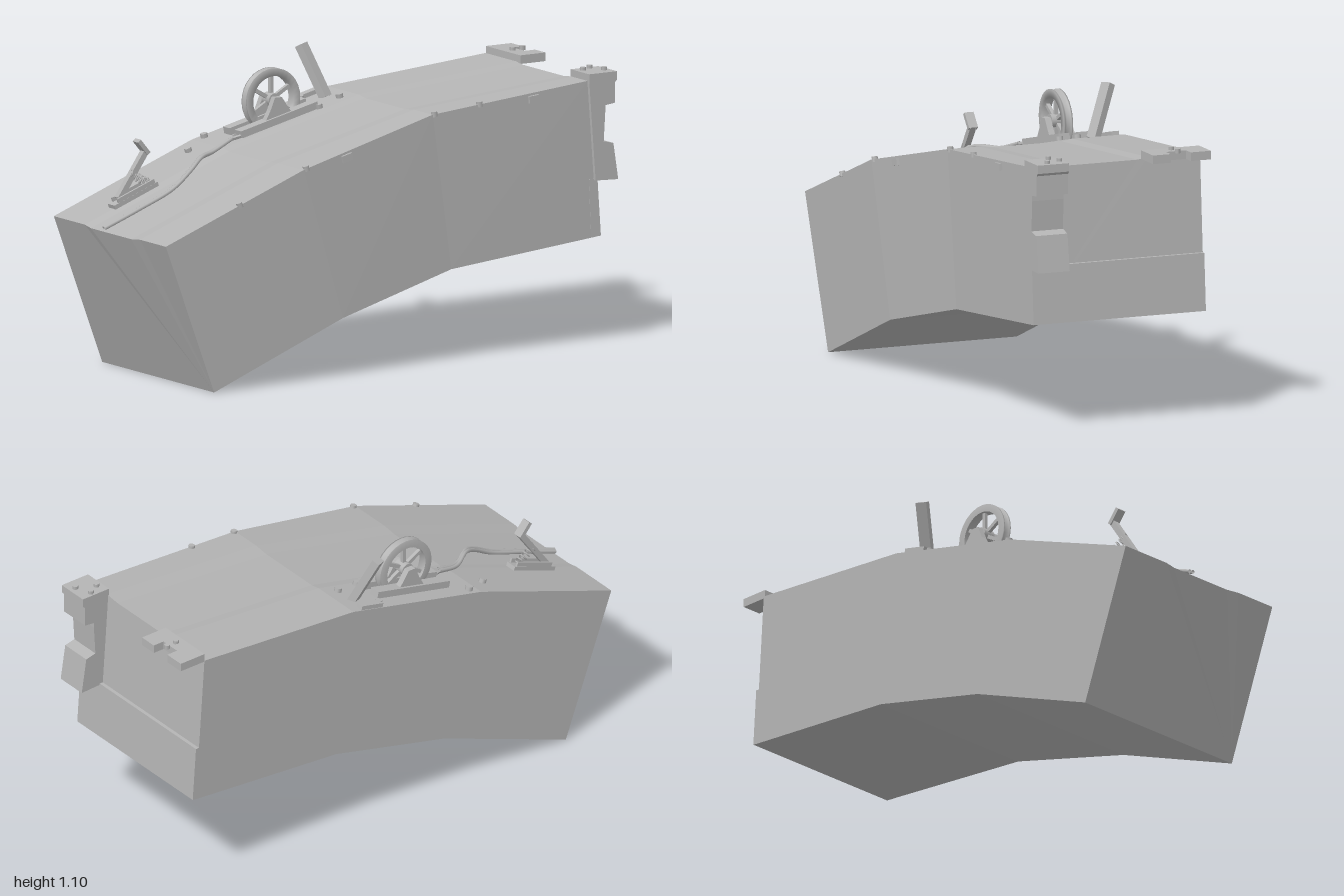
import * as THREE from 'three';

const steel = new THREE.MeshStandardMaterial({ color: 0xb4b4b4, side: THREE.DoubleSide });
steel.name = 'plain grey';

// Sections of the curved block: top x, y, bottom x, y, front z
const SECTIONS = [
  [-1, 0.56, -0.79, 0, 0.372],
  [-0.4, 0.785, -0.23, 0.22, 0.37],
  [0.19, 0.925, 0.27, 0.345, 0.325],
  [0.878, 0.98, 0.918, 0.4, 0.305],
];
const BACK = -0.378;

function segment(x) {
  let i = 0;
  while (i < 2 && x > SECTIONS[i + 1][0]) i++;
  return [SECTIONS[i], SECTIONS[i + 1]];
}
const mix = (x, k) => {
  const [a, b] = segment(x);
  return a[k] + (b[k] - a[k]) * (x - a[0]) / (b[0] - a[0]);
};
const topY = (x) => mix(x, 1);
const slope = (x) => {
  const [a, b] = segment(x);
  return Math.atan2(b[1] - a[1], b[0] - a[0]);
};

function add(parent, name, geometry, x = 0, y = 0, z = 0) {
  const m = new THREE.Mesh(geometry, steel);
  m.name = name;
  m.position.set(x, y, z);
  parent.add(m);
  return m;
}
const box = (w, h, d) => new THREE.BoxGeometry(w, h, d);

// Extrude a front-view outline between two depths
function slab(points, z0, z1, holes = []) {
  const s = new THREE.Shape(points.map((p) => new THREE.Vector2(...p)));
  holes.forEach((h) => s.holes.push(h));
  const g = new THREE.ExtrudeGeometry(s, { depth: z1 - z0, bevelEnabled: false });
  return g.translate(0, 0, z0);
}

// Straight bar between two points
function bar(parent, name, a, b, w, d) {
  const va = new THREE.Vector3(...a), vb = new THREE.Vector3(...b);
  const m = add(parent, name, box(w, va.distanceTo(vb), d));
  m.position.copy(va).lerp(vb, 0.5);
  m.quaternion.setFromUnitVectors(new THREE.Vector3(0, 1, 0), vb.sub(va).normalize());
  return m;
}

function blockGeometry() {
  const rings = SECTIONS.map(([tx, ty, bx, by, f]) => [
    [bx, by, f], [tx, ty, f], [tx, ty, 0.2], [tx, ty - 0.007, 0.14],
    [tx, ty - 0.007, -0.13], [tx, ty, -0.17], [tx, ty, BACK], [bx, by, BACK],
  ]);
  const pos = [];
  const tri = (a, b, c) => pos.push(...a, ...b, ...c);
  for (let i = 0; i < 3; i++) {
    for (let k = 0; k < 8; k++) {
      const a = rings[i][k], b = rings[i + 1][k];
      const c = rings[i + 1][(k + 1) % 8], d = rings[i][(k + 1) % 8];
      tri(a, b, c);
      tri(a, c, d);
    }
  }
  for (let k = 1; k < 7; k++) {
    tri(rings[0][0], rings[0][k], rings[0][k + 1]);
    tri(rings[3][0], rings[3][k + 1], rings[3][k]);
  }
  const g = new THREE.BufferGeometry();
  g.setAttribute('position', new THREE.Float32BufferAttribute(pos, 3));
  g.computeVertexNormals();
  return g;
}

// Spoked, grooved wheel on two rails
function wheelAssembly(root) {
  const g = new THREE.Group();
  g.name = 'wheelAssembly';
  root.add(g);
  const wheel = new THREE.Group();
  wheel.name = 'wheel';
  wheel.position.set(-0.14, 0.928, -0.25);
  g.add(wheel);
  const profile = [[0.088, -0.018], [0.116, -0.018], [0.116, -0.012], [0.1, 0],
    [0.116, 0.012], [0.116, 0.018], [0.088, 0.018], [0.088, -0.018]];
  const rim = new THREE.LatheGeometry(profile.map((p) => new THREE.Vector2(...p)), 32);
  add(wheel, 'rim', rim.rotateX(Math.PI / 2));
  add(wheel, 'hub', new THREE.CylinderGeometry(0.025, 0.025, 0.05, 16).rotateX(Math.PI / 2));
  add(wheel, 'axle', new THREE.CylinderGeometry(0.012, 0.012, 0.1, 12).rotateX(Math.PI / 2));
  for (let i = 0; i < 6; i++) {
    const a = i * Math.PI / 3 + Math.PI / 6;
    bar(wheel, 'spoke', [0, 0, 0], [0.092 * Math.cos(a), 0.092 * Math.sin(a), 0], 0.014, 0.014);
  }
  for (const z of [-0.289, -0.211]) {
    const rail = add(g, 'rail', box(0.34, 0.03, 0.044), -0.14, topY(-0.14) + 0.012, z);
    rail.rotation.z = slope(-0.14);
    add(g, 'axleSupport', slab([[-0.2, 0.85], [-0.08, 0.88], [-0.1, 0.905], [-0.125, 0.942],
      [-0.155, 0.942], [-0.175, 0.895]], z - 0.012, z + 0.012));
  }
}

// Cranked pedal with a return spring
function pedal(root) {
  const g = new THREE.Group();
  g.name = 'pedal';
  root.add(g);
  const z = -0.177, a = slope(-0.8);
  const base = add(g, 'basePlate', box(0.2, 0.016, 0.046), -0.785, topY(-0.785) + 0.008, z);
  base.rotation.z = a;
  for (const s of [-1, 1]) {
    const side = add(g, 'sideRail', box(0.17, 0.022, 0.008), -0.785, topY(-0.785) + 0.022, z + s * 0.018);
    side.rotation.z = a;
  }
  bar(g, 'leverArm', [-0.85, 0.64, z], [-0.735, 0.805, z], 0.022, 0.024);
  bar(g, 'footTread', [-0.728, 0.798, z], [-0.77, 0.848, z], 0.016, 0.036);
  const coil = [];
  for (let i = 0; i <= 48; i++) {
    const t = i / 48, p = t * Math.PI * 12;
    coil.push(new THREE.Vector3(-0.8 + 0.08 * t + 0.007 * Math.cos(p),
      0.73 - 0.045 * t + 0.013 * Math.cos(p), z + 0.012 * Math.sin(p)));
  }
  add(g, 'spring', new THREE.TubeGeometry(new THREE.CatmullRomCurve3(coil), 96, 0.003, 5));
}

export function createModel() {
  const root = new THREE.Group();
  root.name = 'curvedBlock';
  add(root, 'body', blockGeometry());
  // Lower ledge at the right end
  add(root, 'endLedge', slab([[0.89, 0.398], [0.932, 0.402], [0.917, 0.615], [0.88, 0.615]], BACK, 0.307));

  // Notched vertical bracket at the front corner
  add(root, 'frontBracket', slab([[0.875, 0.97], [0.902, 0.61], [1, 0.606], [0.979, 0.742],
    [0.937, 0.752], [0.944, 0.865], [0.944, 0.885], [0.985, 0.89], [0.985, 0.965], [0.995, 0.975],
    [0.995, 1.006], [0.874, 1.006]], 0.193, 0.318));
  // Flat forked bracket at the back corner
  const fork = slab([[0.875, 0.145], [0.985, 0.145], [0.985, 0.215], [0.94, 0.215], [0.94, 0.295],
    [0.985, 0.295], [0.985, 0.375], [0.875, 0.375]], 0, 0.032);
  add(root, 'backBracket', fork.rotateX(-Math.PI / 2), 0, 0.974, 0);
  for (const [x, z] of [[0.9, 0.235], [0.945, 0.21], [0.97, 0.27], [0.91, -0.25], [0.955, -0.255]]) {
    add(root, 'bracketBolt', new THREE.CylinderGeometry(0.011, 0.011, 0.016, 6), x, 1.01, z);
  }

  wheelAssembly(root);
  pedal(root);

  // Leaning post and its foot
  bar(root, 'post', [0.12, 0.905, -0.285], [0.067, 1.093, -0.367], 0.042, 0.03).rotateY(0.4);
  const foot = add(root, 'postFoot', box(0.1, 0.016, 0.03), 0.1, topY(0.1) + 0.008, -0.36);
  foot.rotation.z = slope(0.1);

  // Twin cables running to a splayed end beside the wheel
  const path = [[-1, 0.566, -0.042], [-0.85, 0.622, -0.042], [-0.7, 0.68, -0.05],
    [-0.61, 0.735, -0.07], [-0.54, 0.772, -0.105], [-0.45, 0.777, -0.165], [-0.34, 0.812, -0.2]];
  for (const s of [-0.006, 0.006]) {
    const curve = new THREE.CatmullRomCurve3(path.map(([x, y, z]) => new THREE.Vector3(x - s * 0.4, y, z + s)));
    add(root, 'cable', new THREE.TubeGeometry(curve, 48, 0.0075, 8));
  }
  for (const s of [-1, 1]) {
    bar(root, 'cableEnd', [-0.36, 0.806, -0.197], [-0.315, 0.818, -0.2 + s * 0.018], 0.01, 0.01);
  }

  // Studs on the top and along the front edge
  for (const [x, z] of [[-0.47, -0.295], [-0.365, -0.35], [0.135, -0.215], [0.03, -0.19], [0.05, -0.345]]) {
    const stud = add(root, 'topStud', new THREE.CylinderGeometry(0.014, 0.014, 0.02, 8), x, topY(x) + 0.006, z);
    stud.rotation.z = slope(x);
  }
  for (const x of [-0.675, -0.385, 0.2, 0.4]) {
    const stud = add(root, 'edgeStud', new THREE.CylinderGeometry(0.012, 0.012, 0.02, 8), x, topY(x), mix(x, 4) - 0.006);
    stud.rotation.z = slope(x);
  }
  for (const x of [-0.205, 0.635]) {
    const cleat = add(root, 'edgeCleat', box(0.044, 0.026, 0.02), x, topY(x) - 0.022, mix(x, 4));
    cleat.rotation.z = slope(x);
  }
  return root;
}
